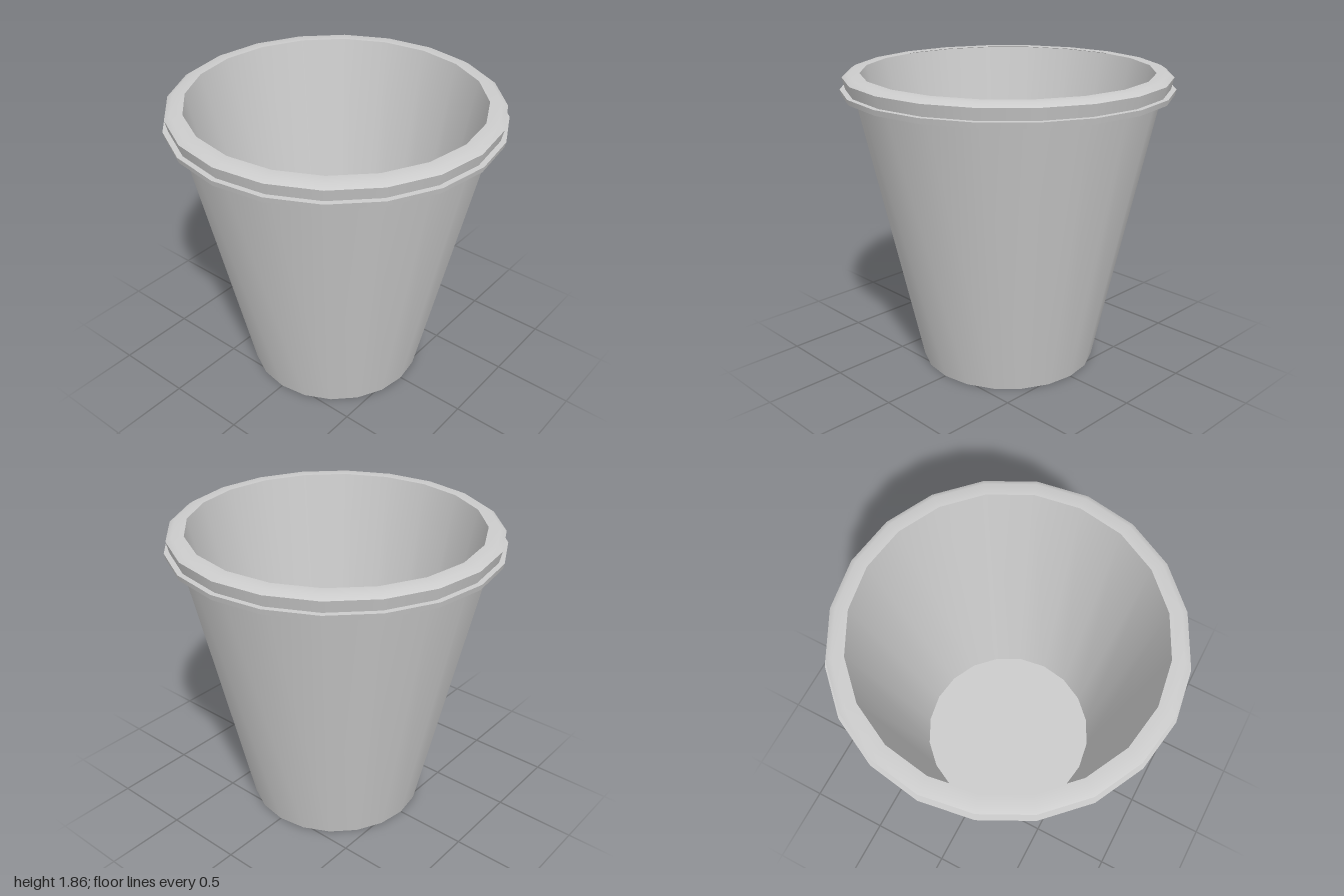
import * as THREE from 'three';

const SIDES = 20;
const material = new THREE.MeshStandardMaterial({ color: 0xcccccc, side: THREE.DoubleSide });

// Each strip is revolved on its own, so edges between strips stay sharp.
function addStrip(group, name, profile) {
  const points = profile.map(([r, y]) => new THREE.Vector2(r, y));
  const mesh = new THREE.Mesh(new THREE.LatheGeometry(points, SIDES), material);
  mesh.name = name;
  group.add(mesh);
}

export function createModel() {
  const model = new THREE.Group();
  model.name = 'cup';

  // Tapered body
  const body = new THREE.Group();
  body.name = 'body';
  addStrip(body, 'base', [[0, 0], [0.553, 0]]);
  addStrip(body, 'outerWall', [[0.553, 0], [0.92, 1.74]]);
  addStrip(body, 'innerWall', [[0.88, 1.86], [0.567, 0.15]]);
  addStrip(body, 'floor', [[0.567, 0.15], [0, 0.15]]);

  // Thin flange below the rim
  const flange = new THREE.Group();
  flange.name = 'flange';
  addStrip(flange, 'flangeUnderside', [[0.92, 1.74], [0.993, 1.737]]);
  addStrip(flange, 'flangeEdge', [[0.993, 1.737], [1, 1.77]]);
  addStrip(flange, 'flangeTop', [[1, 1.77], [0.968, 1.77]]);

  // Rolled rim with a bevelled top
  const rim = new THREE.Group();
  rim.name = 'rim';
  addStrip(rim, 'rimSide', [[0.968, 1.77], [0.984, 1.84]]);
  addStrip(rim, 'rimTop', [[0.984, 1.84], [0.95, 1.862], [0.88, 1.862]]);

  model.add(body, flange, rim);
  return model;
}
